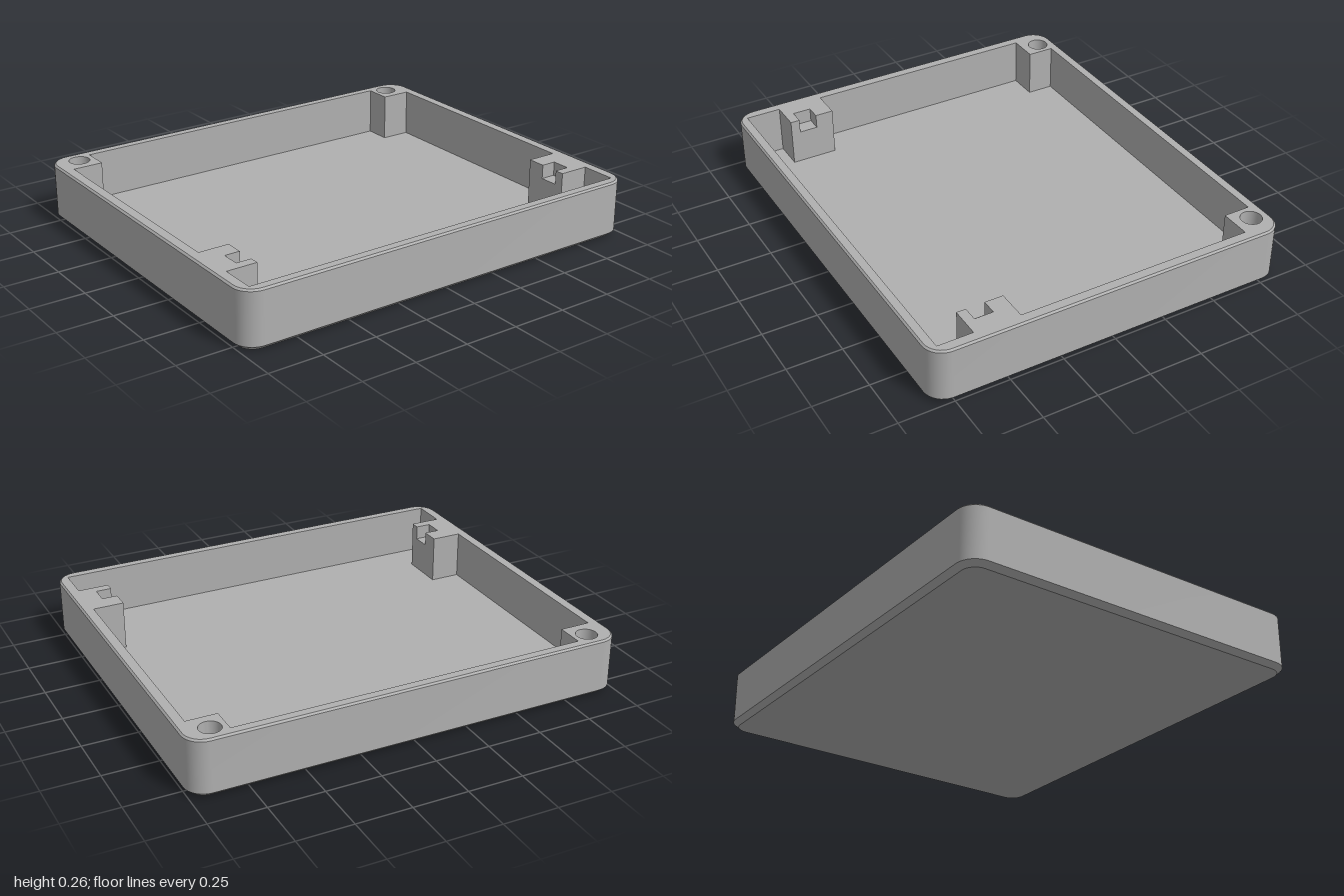
import * as THREE from 'three';
import { mergeGeometries, toCreasedNormals } from 'three/addons/utils/BufferGeometryUtils.js';

const HX = 1, HZ = 0.845, TOP = 0.265, FLOOR = 0.042;
const NOTCH_Y = TOP - 0.065, HOLE_Y = 0.1, HOLE_R = 0.048;

// All outlines are counter-clockwise lists of Vector2 (x, -z).
const P = (x, z) => new THREE.Vector2(x, -z);

// Rounded rectangle, shrunk by an inset
function roundedRect(inset, r = 0.09, n = 8) {
  const pts = [];
  [[1, -1], [1, 1], [-1, 1], [-1, -1]].forEach(([sx, sy], c) => {
    for (let i = 0; i <= n; i++) {
      const a = (c - 1 + i / n) * Math.PI / 2;
      pts.push(new THREE.Vector2(
        sx * (HX - r) + (r - inset) * Math.cos(a),
        sy * (HZ - r) + (r - inset) * Math.sin(a)));
    }
  });
  return pts;
}

function circle(cx, cz, r, n = 32) {
  return Array.from({ length: n }, (_, i) => {
    const a = i / n * Math.PI * 2;
    return P(cx + r * Math.cos(a), cz - r * Math.sin(a));
  });
}

// Inner outline running round the screw posts and the slotted posts
function cavity(withNotch) {
  const notch = withNotch ? [[0.81, 0.595], [0.88, 0.595], [0.88, 0.51], [0.81, 0.51]] : [];
  const half = [[0.95, 0.8], [0.95, 0.638], [0.81, 0.638], ...notch, [0.81, 0.425], [0.95, 0.425],
    [0.95, -0.675], [0.81, -0.675], [0.81, -0.8]];
  const mirrored = half.map(([x, z]) => [-x, z]).reverse();
  return [...half, ...mirrored].map(([x, z]) => P(x, z));
}

// Band of quads between two closed outlines at two heights
function band(low, y0, high, y1, inward = false) {
  const pos = [];
  const n = low.length;
  for (let i = 0; i < n; i++) {
    const j = (i + 1) % n;
    const a = [low[i].x, y0, -low[i].y], b = [low[j].x, y0, -low[j].y];
    const c = [high[j].x, y1, -high[j].y], d = [high[i].x, y1, -high[i].y];
    pos.push(...(inward ? [b, a, d, b, d, c] : [a, b, c, a, c, d]).flat());
  }
  const g = new THREE.BufferGeometry();
  g.setAttribute('position', new THREE.Float32BufferAttribute(pos, 3));
  return g;
}

// Flat horizontal face
function plate(outline, y, holes = [], down = false) {
  const shape = new THREE.Shape(outline);
  shape.holes = holes.map(h => new THREE.Path(h));
  const g = new THREE.ShapeGeometry(shape).rotateX(-Math.PI / 2).translate(0, y, 0);
  if (down) {
    const idx = g.index.array;
    for (let i = 0; i < idx.length; i += 3) [idx[i], idx[i + 1]] = [idx[i + 1], idx[i]];
    g.computeVertexNormals();
  }
  return g;
}

export function createModel() {
  const group = new THREE.Group();
  const grey = new THREE.MeshStandardMaterial({ color: 0xb0b0b0 });
  grey.name = 'grey plastic';
  const add = (name, geometry) => {
    const mesh = new THREE.Mesh(geometry, grey);
    mesh.name = name;
    group.add(mesh);
  };
  const walls = (...bands) => toCreasedNormals(mergeGeometries(bands), Math.PI / 6);

  // Outer shell with chamfered bottom and top edges
  const base = roundedRect(0.025), side = roundedRect(0), rim = roundedRect(0.008);
  add('outerWall', walls(
    band(base, 0, side, 0.022),
    band(side, 0.022, side, TOP - 0.008),
    band(side, TOP - 0.008, rim, TOP)));
  add('underside', plate(base, 0, [], true));

  // Rim, inner walls and floor
  const upper = cavity(true), lower = cavity(false);
  const screwHoles = [-1, 1].map(s => circle(s * 0.88, -0.762, HOLE_R));
  add('rim', plate(rim, TOP, [upper, ...screwHoles]));
  add('innerWallUpper', walls(band(upper, NOTCH_Y, upper, TOP, true)));
  add('innerWallLower', walls(band(lower, FLOOR, lower, NOTCH_Y, true)));
  add('floor', plate(lower, FLOOR));

  // Screw holes and slot bottoms on both sides
  [-1, 1].forEach((s, i) => {
    const label = s > 0 ? 'left' : 'right';
    add(label + 'ScrewHole', walls(band(screwHoles[i], HOLE_Y, screwHoles[i], TOP, true)));
    add(label + 'ScrewHoleBottom', plate(screwHoles[i], HOLE_Y));
    const slot = new THREE.PlaneGeometry(0.07, 0.085).rotateX(-Math.PI / 2);
    add(label + 'SlotBottom', slot.translate(s * 0.845, NOTCH_Y, 0.5525));
  });
  return group;
}
